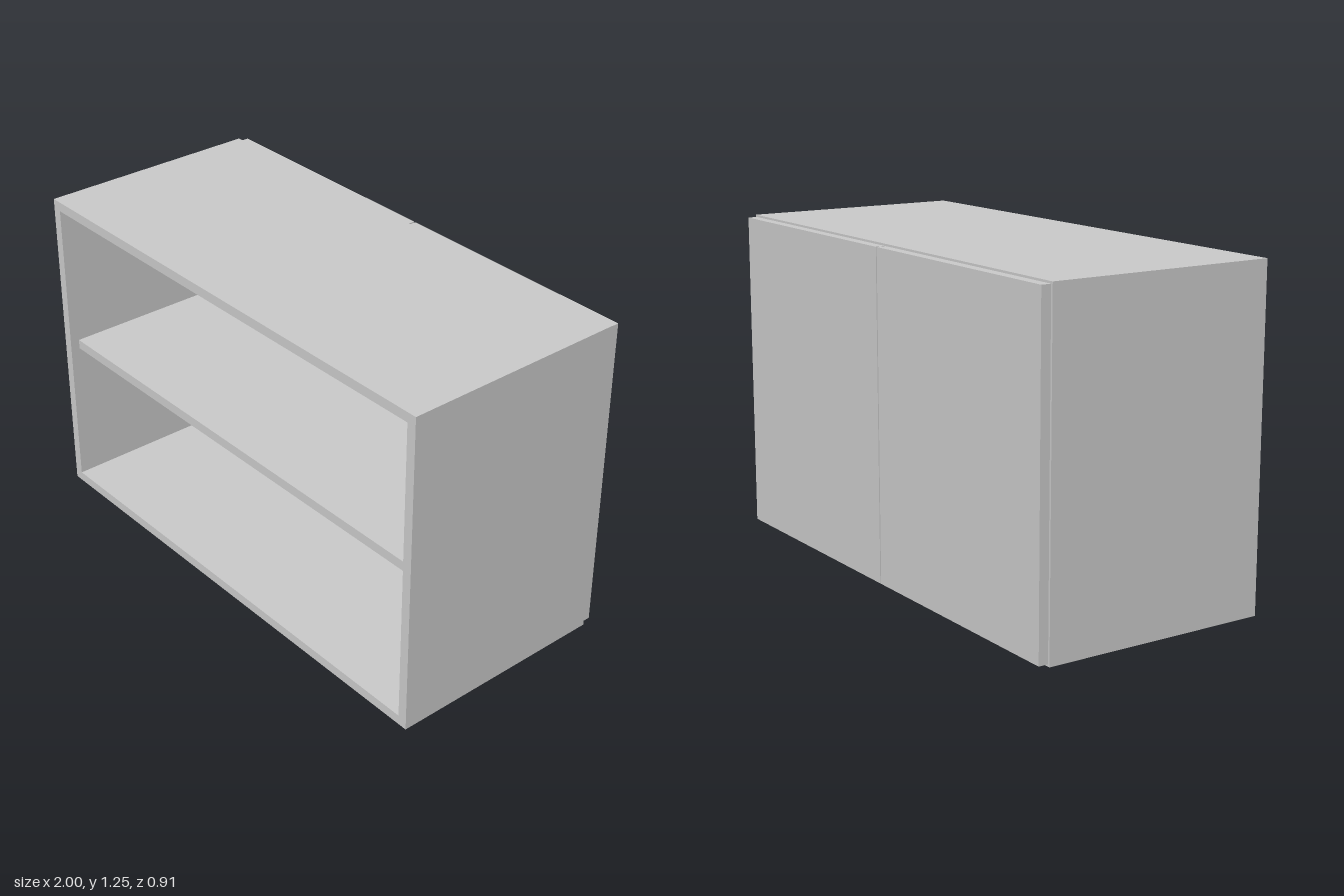
import * as THREE from 'three';

const W = 2, H = 1.25, T = 0.037;            // overall width, height, board thickness
const FRONT = 0.457, BACK = -0.42;           // carcass depth range
const DOOR_BACK = -0.457, CUP_DEPTH = 0.025; // doors sit on the back opening

const material = new THREE.MeshStandardMaterial({ color: 0xcccccc });

function add(parent, name, geometry, x = 0, y = 0, z = 0) {
  const mesh = new THREE.Mesh(geometry, material);
  mesh.name = name;
  mesh.position.set(x, y, z);
  parent.add(mesh);
  return mesh;
}

// Rectangle outline, used for shapes and holes
function rect(path, x0, y0, x1, y1) {
  path.moveTo(x0, y0);
  path.lineTo(x1, y0);
  path.lineTo(x1, y1);
  path.lineTo(x0, y1);
  path.closePath();
  return path;
}

function extrude(shape, depth) {
  return new THREE.ExtrudeGeometry(shape, { depth, bevelEnabled: false, curveSegments: 24 });
}

// Door with two blind hinge holes drilled into its inner face
function createDoor(side) {
  const door = new THREE.Group();
  door.name = side > 0 ? 'leftDoor' : 'rightDoor';
  const inner = 0.003, outer = 0.992, y0 = 0.008, y1 = 1.242;
  const xs = [side * inner, side * outer].sort((a, b) => a - b);

  const face = rect(new THREE.Shape(), xs[0], y0, xs[1], y1);
  for (const y of [0.26, 0.995]) {
    const hole = new THREE.Path();
    hole.absarc(side * 0.938, y, 0.048, 0, Math.PI * 2, true);
    face.holes.push(hole);
  }
  add(door, 'drilledInnerLayer', extrude(face, CUP_DEPTH), 0, 0, BACK - CUP_DEPTH);

  const backDepth = BACK - CUP_DEPTH - DOOR_BACK;
  add(door, 'outerLayer', new THREE.BoxGeometry(outer - inner, y1 - y0, backDepth),
    side * (inner + outer) / 2, (y0 + y1) / 2, DOOR_BACK + backDepth / 2);
  return door;
}

export function createModel() {
  const cabinet = new THREE.Group();
  cabinet.name = 'cabinet';

  // Carcass: top, bottom and sides as one open frame
  const frame = rect(new THREE.Shape(), -W / 2, 0, W / 2, H);
  frame.holes.push(rect(new THREE.Path(), -W / 2 + T, T, W / 2 - T, H - T));
  add(cabinet, 'carcass', extrude(frame, FRONT - BACK), 0, 0, BACK);

  // Middle shelf, set back slightly from the front
  const shelfFront = 0.42, shelfBack = BACK + 0.003;
  add(cabinet, 'shelf', new THREE.BoxGeometry(W - 2 * T, T, shelfFront - shelfBack),
    0, 0.627, (shelfFront + shelfBack) / 2);

  for (const side of [1, -1]) cabinet.add(createDoor(side));
  return cabinet;
}
